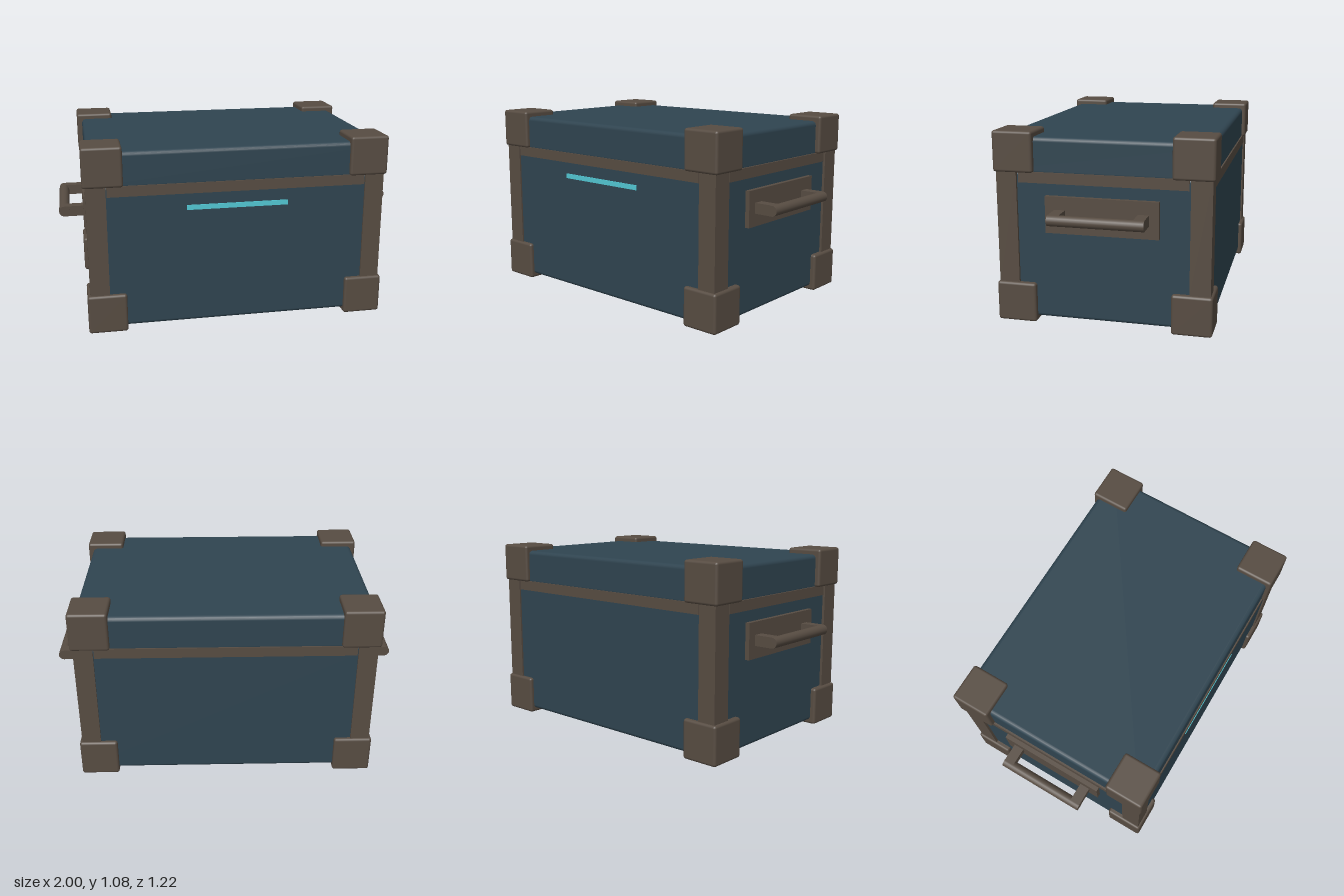
import * as THREE from 'three';
import { RoundedBoxGeometry } from 'three/addons/geometries/RoundedBoxGeometry.js';

export function createModel() {
  const root = new THREE.Group();
  root.name = 'storageCrate';

  const material = (name, color) => {
    const m = new THREE.MeshStandardMaterial({ color });
    m.name = name;
    return m;
  };
  const panel = material('slateBluePanel', 0x2f4450);
  const trim = material('brownTrim', 0x574c42);
  const glow = material('cyanLight', 0x52c8d4);

  // Box given by its size and centre; r > 0 rounds the edges
  function box(name, mat, [w, h, d], [x, y, z], r = 0, parent = root) {
    const geo = r ? new RoundedBoxGeometry(w, h, d, 2, r) : new THREE.BoxGeometry(w, h, d);
    const mesh = new THREE.Mesh(geo, mat);
    mesh.name = name;
    mesh.position.set(x, y, z);
    parent.add(mesh);
    return mesh;
  }

  // Body and lid
  box('body', panel, [1.67, 0.83, 1.17], [0, 0.445, 0], 0.02);
  box('lid', panel, [1.67, 0.21, 1.17], [0, 0.945, 0], 0.025);

  // Corner guards and upright posts
  for (const sx of [-1, 1]) {
    for (const sz of [-1, 1]) {
      box('lowerCornerGuard', trim, [0.222, 0.226, 0.226], [sx * 0.755, 0.116, sz * 0.495], 0.015);
      box('upperCornerGuard', trim, [0.222, 0.226, 0.226], [sx * 0.755, 0.969, sz * 0.495], 0.015);
      box('cornerPost', trim, [0.11, 0.66, 0.115], [sx * 0.795, 0.545, sz * 0.5375]);
    }
  }

  // Rim strips under the lid
  for (const s of [-1, 1]) {
    box('longRimStrip', trim, [1.47, 0.06, 0.03], [0, 0.83, s * 0.577]);
    box('sideRimStrip', trim, [0.03, 0.06, 0.94], [s * 0.83, 0.83, 0]);
  }

  // Light bar on the front
  box('lightBar', glow, [0.58, 0.028, 0.008], [-0.005, 0.718, 0.587]);

  // Side handles: backing plate, two stubs and a round grip
  for (const s of [-1, 1]) {
    const handle = new THREE.Group();
    handle.name = s > 0 ? 'leftHandle' : 'rightHandle';
    root.add(handle);
    box('handlePlate', trim, [0.03, 0.205, 0.63], [s * 0.846, 0.632, 0], 0, handle);
    for (const sz of [-1, 1]) {
      box('handleStub', trim, [0.12, 0.06, 0.06], [s * 0.91, 0.632, sz * 0.231], 0, handle);
    }
    const grip = new THREE.Mesh(new THREE.CylinderGeometry(0.03, 0.03, 0.524, 20), trim);
    grip.name = 'handleGrip';
    grip.rotation.x = Math.PI / 2;
    grip.position.set(s * 0.97, 0.632, 0);
    handle.add(grip);
  }

  return root;
}
